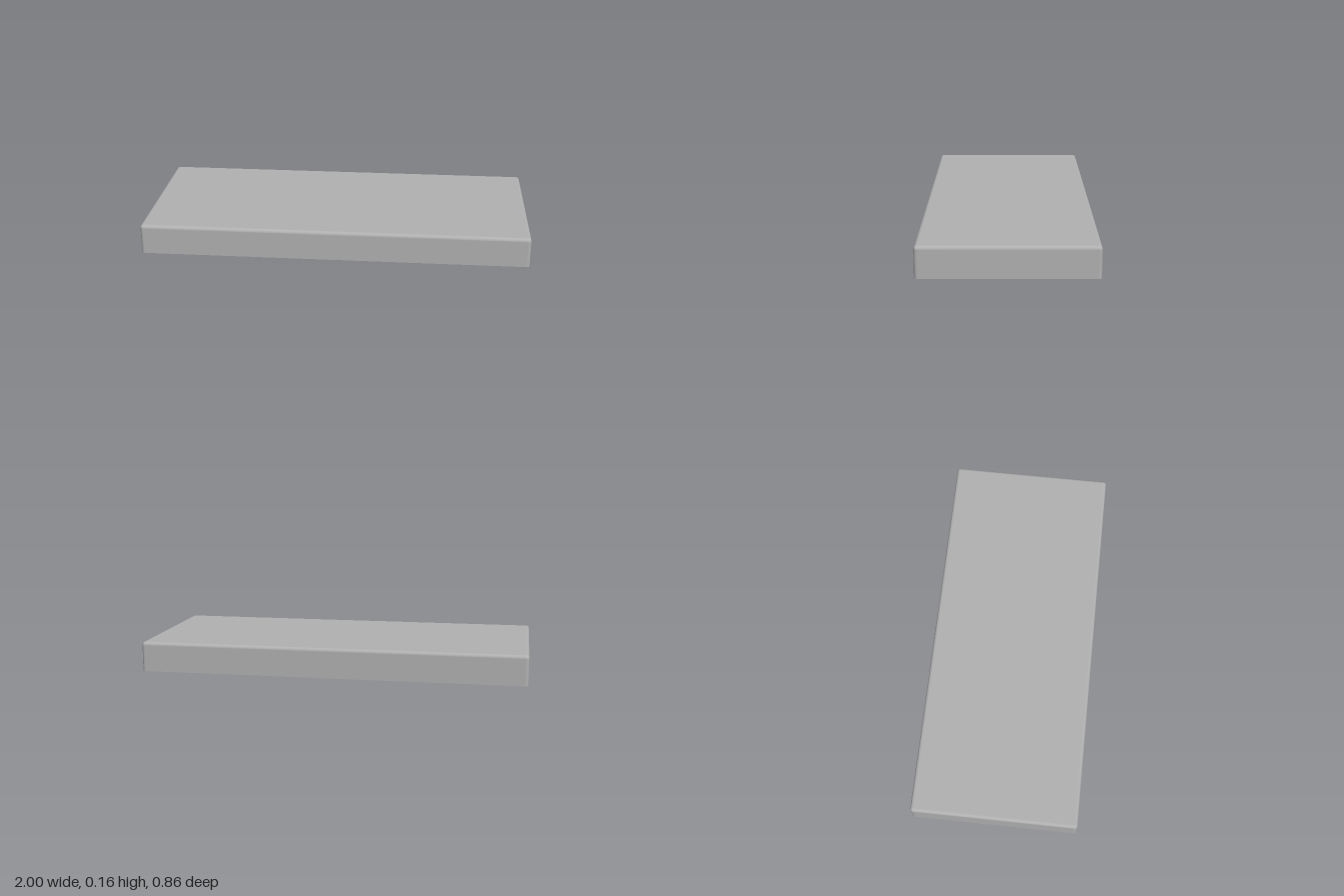
import * as THREE from 'three';
import { mergeGeometries } from 'three/addons/utils/BufferGeometryUtils.js';

const HALF_X = 1, HALF_Z = 0.43, HEIGHT = 0.155;
const EDGE = 0.018, WALL = 0.025, CEILING = 0.13;

// Lofts rounded-rectangle loops. Section: [inset, y, outward normal, upward normal]
function loftTray(sections, arcSteps = 6) {
  const pos = [], nor = [], idx = [];
  const perLoop = 4 * (arcSteps + 1);
  for (const [inset, y, out, up] of sections) {
    const r = Math.max(EDGE - inset, 0);
    for (let corner = 0; corner < 4; corner++) {
      const sx = corner === 0 || corner === 3 ? 1 : -1;
      const sz = corner < 2 ? 1 : -1;
      for (let i = 0; i <= arcSteps; i++) {
        const a = (corner + i / arcSteps) * Math.PI / 2;
        const c = Math.cos(a), s = Math.sin(a);
        pos.push(sx * (HALF_X - inset - r) + r * c, y, sz * (HALF_Z - inset - r) + r * s);
        nor.push(c * out, up, s * out);
      }
    }
  }
  for (let k = 0; k < sections.length - 1; k++) {
    for (let i = 0; i < perLoop; i++) {
      const j = (i + 1) % perLoop;
      const a = k * perLoop + i, b = k * perLoop + j;
      idx.push(a, a + perLoop, b, b, a + perLoop, b + perLoop);
    }
  }
  // Ceiling and top caps
  const last = (sections.length - 1) * perLoop;
  for (let i = 1; i < perLoop - 1; i++) {
    idx.push(0, i, i + 1);
    idx.push(last, last + i + 1, last + i);
  }
  const g = new THREE.BufferGeometry();
  g.setAttribute('position', new THREE.Float32BufferAttribute(pos, 3));
  g.setAttribute('normal', new THREE.Float32BufferAttribute(nor, 3));
  g.setIndex(idx);
  return g;
}

export function createModel() {
  const group = new THREE.Group();
  const grey = new THREE.MeshStandardMaterial({ name: 'grey', color: 0xb0b0b0 });
  const lightGrey = new THREE.MeshStandardMaterial({ name: 'lightGrey', color: 0xc4c4c4 });
  const add = (name, geometry, material) => {
    const mesh = new THREE.Mesh(geometry, material);
    mesh.name = name;
    group.add(mesh);
  };

  // Open-bottomed housing: ceiling, inner wall, rim, outer wall, rounded top edge
  const sections = [
    [WALL, CEILING, 0, -1],
    [WALL, CEILING, -1, 0], [WALL, 0, -1, 0],
    [WALL, 0, 0, -1], [0, 0, 0, -1],
    [0, 0, 1, 0],
  ];
  for (let i = 0; i <= 6; i++) {
    const a = i / 6 * Math.PI / 2;
    sections.push([EDGE * (1 - Math.cos(a)), HEIGHT - EDGE + EDGE * Math.sin(a), Math.cos(a), Math.sin(a)]);
  }
  add('housing', loftTray(sections), grey);

  // Grid of short studs under the ceiling
  const studs = [];
  const columns = 16, rows = 7;
  for (let i = 0; i < columns; i++) {
    for (let j = 0; j < rows; j++) {
      const stud = new THREE.CylinderGeometry(0.02, 0.02, 0.02, 16);
      stud.translate(-0.85 + 1.7 * i / (columns - 1), CEILING - 0.01, -0.27 + 0.54 * j / (rows - 1));
      studs.push(stud);
    }
  }
  add('ceilingStuds', mergeGeometries(studs), lightGrey);

  // Three small round knobs inside each long wall
  const knobs = [];
  for (const side of [-1, 1]) {
    for (const x of [-0.7, 0, 0.7]) {
      const knob = new THREE.SphereGeometry(0.014, 16, 12);
      knob.translate(x, 0.055, side * (HALF_Z - WALL));
      knobs.push(knob);
    }
  }
  add('wallKnobs', mergeGeometries(knobs), lightGrey);

  return group;
}
